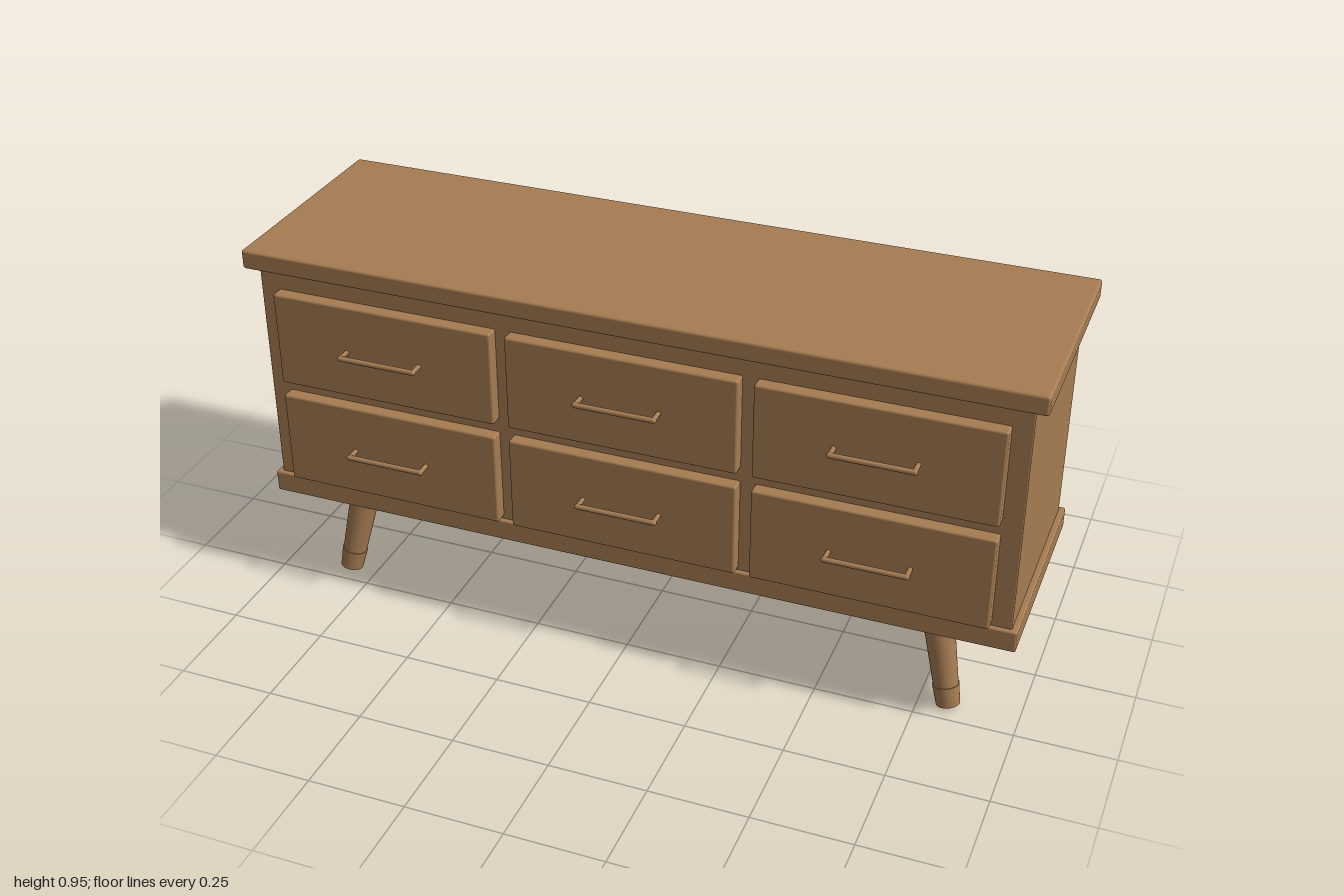
import * as THREE from 'three';
import { RoundedBoxGeometry } from 'three/addons/geometries/RoundedBoxGeometry.js';

const wood = new THREE.MeshStandardMaterial({ color: 0xa67c52 });
wood.name = 'wood';

function add(parent, name, geometry, x = 0, y = 0, z = 0) {
  const mesh = new THREE.Mesh(geometry, wood);
  mesh.name = name;
  mesh.position.set(x, y, z);
  parent.add(mesh);
  return mesh;
}

// Softly rounded slab given by its width and its y and z limits
function slab(parent, name, width, y0, y1, z0, z1, radius, x = 0) {
  const geometry = new RoundedBoxGeometry(width, y1 - y0, z1 - z0, 3, radius);
  return add(parent, name, geometry, x, (y0 + y1) / 2, (z0 + z1) / 2);
}

// Horizontal bar pull on two posts
function makeHandle(x, y) {
  const handle = new THREE.Group();
  handle.name = 'handle';
  handle.position.set(x, y, 0);
  const bar = add(handle, 'handleBar', new THREE.CapsuleGeometry(0.007, 0.2, 4, 12), 0, 0, 0.318);
  bar.rotation.z = Math.PI / 2;
  for (const side of [-1, 1]) {
    const post = add(handle, 'handlePost', new THREE.CylinderGeometry(0.006, 0.006, 0.04, 12), side * 0.099, 0, 0.299);
    post.rotation.x = Math.PI / 2;
  }
  return handle;
}

// Tapered, splayed leg with a slightly wider foot sleeve
function makeLeg(top, foot) {
  const leg = new THREE.Group();
  leg.name = 'leg';
  const axis = top.clone().sub(foot);
  const length = axis.length();
  leg.position.copy(foot);
  leg.quaternion.setFromUnitVectors(new THREE.Vector3(0, 1, 0), axis.normalize());
  add(leg, 'legShaft', new THREE.CylinderGeometry(0.04, 0.029, length, 32), 0, length / 2, 0);
  add(leg, 'footSleeve', new THREE.CylinderGeometry(0.0335, 0.0295, 0.055, 32), 0, 0.0275, 0);
  return leg;
}

export function createModel() {
  const dresser = new THREE.Group();
  dresser.name = 'dresser';

  // Carcass
  slab(dresser, 'tabletop', 2, 0.905, 0.955, -0.325, 0.278, 0.007);
  slab(dresser, 'body', 1.936, 0.3, 0.91, -0.296, 0.252, 0.003);
  slab(dresser, 'basePlinth', 1.966, 0.253, 0.31, -0.307, 0.263, 0.005);

  // Two rows of three drawers
  for (const [y0, y1, handleY] of [[0.317, 0.566, 0.441], [0.602, 0.852, 0.727]]) {
    for (const x of [-0.625, 0, 0.625]) {
      slab(dresser, 'drawerFront', 0.588, y0, y1, 0.24, 0.284, 0.006, x);
      dresser.add(makeHandle(x, handleY));
    }
  }

  // Four legs splayed outwards
  for (const side of [-1, 1]) {
    for (const [topZ, footZ] of [[0.163, 0.193], [-0.206, -0.236]]) {
      dresser.add(makeLeg(
        new THREE.Vector3(side * 0.771, 0.265, topZ),
        new THREE.Vector3(side * 0.824, 0.0075, footZ)
      ));
    }
  }
  return dresser;
}
